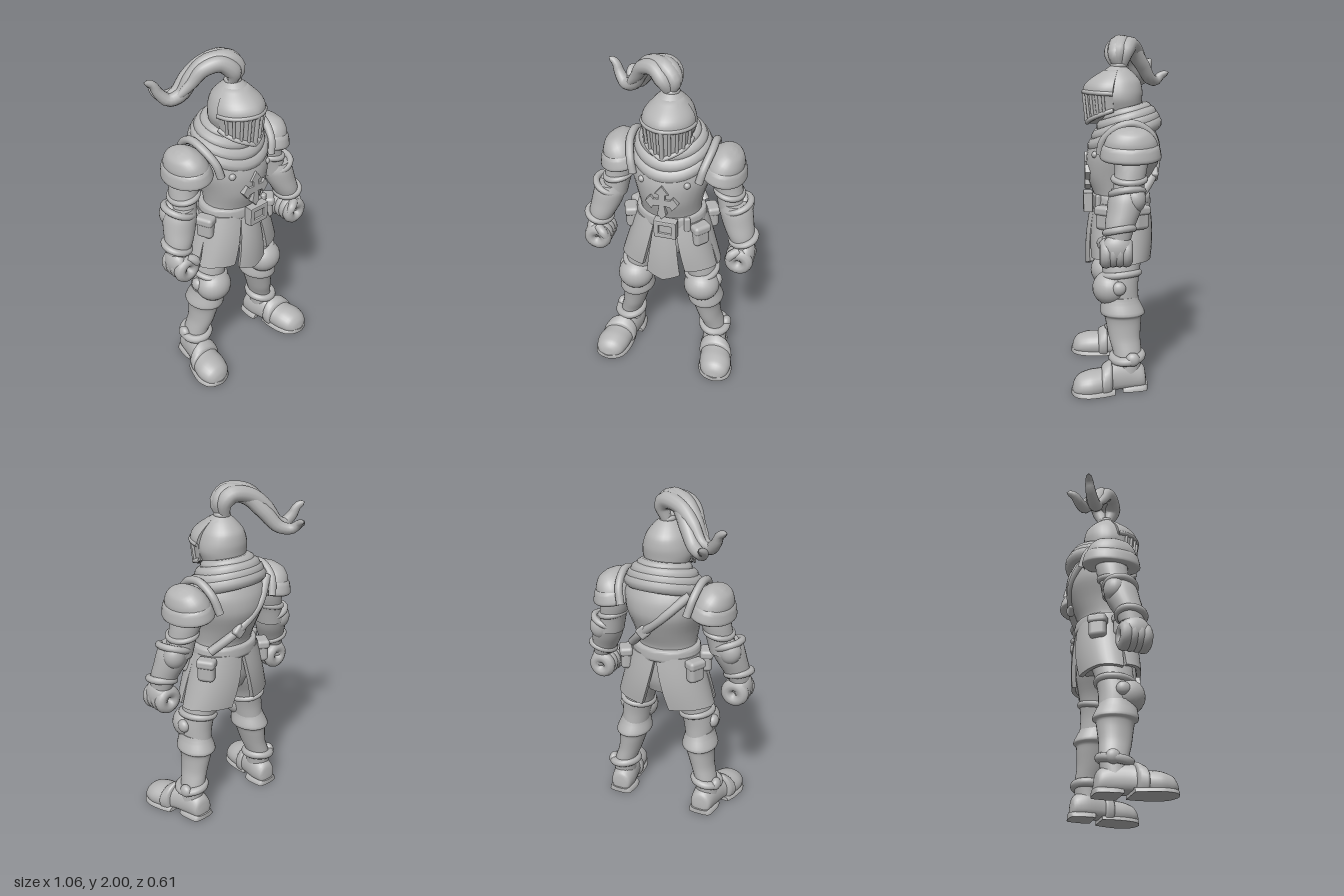
import * as THREE from 'three';
import { toCreasedNormals } from 'three/addons/utils/BufferGeometryUtils.js';
import { RoundedBoxGeometry } from 'three/addons/geometries/RoundedBoxGeometry.js';

const lerp = THREE.MathUtils.lerp;
const V = (p) => new THREE.Vector3(...p);

// Smooth solid through elliptical rings [x, y, z, rx, rz], listed from low to high y
function loft(rings, sub = 4, n = 28) {
  const a = new THREE.CatmullRomCurve3(rings.map((r) => V(r.slice(0, 3))), false, 'catmullrom', 0.4);
  const b = new THREE.CatmullRomCurve3(rings.map((r) => V([r[3], r[4], 0])), false, 'catmullrom', 0.4);
  const m = (rings.length - 1) * sub, pos = [], idx = [];
  for (let i = 0; i <= m; i++) {
    const c = a.getPoint(i / m), r = b.getPoint(i / m);
    for (let j = 0; j < n; j++) {
      const t = (j / n) * Math.PI * 2;
      pos.push(c.x + r.x * Math.cos(t), c.y, c.z + r.y * Math.sin(t));
    }
  }
  const lo = pos.length / 3, hi = lo + 1;
  pos.push(...rings[0].slice(0, 3), ...rings[rings.length - 1].slice(0, 3));
  for (let j = 0; j < n; j++) {
    const k = (j + 1) % n, top = m * n;
    for (let i = 0; i < m; i++) {
      const p = i * n + j, q = i * n + k;
      idx.push(p, p + n, q, q, p + n, q + n);
    }
    idx.push(lo, j, k, hi, top + k, top + j);
  }
  const g = new THREE.BufferGeometry();
  g.setAttribute('position', new THREE.Float32BufferAttribute(pos, 3));
  g.setIndex(idx);
  return toCreasedNormals(g, 0.9);
}

// Move every vertex by a rule
function warp(g, f) {
  const p = g.attributes.position;
  for (let i = 0; i < p.count; i++) p.setXYZ(i, ...f(p.getX(i), p.getY(i), p.getZ(i)));
  g.deleteAttribute('normal');
  g.deleteAttribute('uv');
  return toCreasedNormals(g, 0.9);
}

function at(g, x, y, z, rx = 0, ry = 0, rz = 0) {
  g.applyMatrix4(new THREE.Matrix4().makeRotationFromEuler(new THREE.Euler(rx, ry, rz)));
  return g.translate(x, y, z);
}

// Tube through points, its radius scaled along the length
function strand(pts, r, profile = () => 1, seg = 36) {
  const c = new THREE.CatmullRomCurve3(pts.map(V));
  const g = new THREE.TubeGeometry(c, seg, r, 12), p = g.attributes.position;
  for (let i = 0; i <= seg; i++) {
    const o = c.getPointAt(i / seg), k = profile(i / seg);
    for (let j = 0; j <= 12; j++) {
      const v = new THREE.Vector3().fromBufferAttribute(p, i * 13 + j).sub(o).multiplyScalar(k).add(o);
      p.setXYZ(i * 13 + j, v.x, v.y, v.z);
    }
  }
  return g;
}

// Flat-lying elliptical ring
const ring = (rx, rz, tube) => new THREE.TorusGeometry(1, tube / rx, 10, 36).rotateX(Math.PI / 2).scale(rx, rx, rz);
const ball = (x, y, z, a, b, c) => new THREE.SphereGeometry(1, 24, 16).scale(a, b, c).translate(x, y, z);

function mirrored(geo) {
  const g = geo.index ? geo.toNonIndexed() : geo.clone();
  g.scale(-1, 1, 1);
  for (const key of ['position', 'normal']) {
    const s = g.attributes[key].array;
    for (let i = 0; i < s.length; i += 9)
      for (let k = 0; k < 3; k++) [s[i + k], s[i + 6 + k]] = [s[i + 6 + k], s[i + k]];
  }
  return g;
}

export function createModel() {
  const model = new THREE.Group();
  const grey = new THREE.MeshStandardMaterial({ color: 0xb4b4b4 });
  grey.name = 'plain grey';
  const add = (name, g) => {
    const m = new THREE.Mesh(g, grey);
    m.name = name;
    model.add(m);
  };
  const pair = (name, g) => { add(name + 'Left', g); add(name + 'Right', mirrored(g)); };

  // Torso, hips and belt
  add('torso', loft([[0, 1.02, 0, 0.185, 0.145], [0, 1.1, 0.015, 0.178, 0.155], [0, 1.2, 0.012, 0.195, 0.193],
    [0, 1.31, -0.007, 0.228, 0.215], [0, 1.4, -0.018, 0.235, 0.198], [0, 1.48, -0.025, 0.2, 0.155], [0, 1.57, -0.02, 0.11, 0.11]]));
  add('hips', loft([[0, 0.79, 0, 0.13, 0.1], [0, 0.88, 0, 0.19, 0.13], [0, 1.05, 0, 0.18, 0.14]]));
  add('belt', loft([[0, 1.02, 0.005, 0.195, 0.16], [0, 1.03, 0.005, 0.208, 0.172], [0, 1.085, 0.005, 0.203, 0.17], [0, 1.095, 0.005, 0.19, 0.158]]));
  const frame = new THREE.Shape([[-0.06, -0.05], [0.06, -0.05], [0.06, 0.05], [-0.06, 0.05]].map((p) => new THREE.Vector2(...p)));
  frame.holes.push(new THREE.Path([[-0.042, -0.032], [-0.042, 0.032], [0.042, 0.032], [0.042, -0.032]].map((p) => new THREE.Vector2(...p))));
  add('buckle', at(new THREE.ExtrudeGeometry(frame, { depth: 0.04, bevelSize: 0.006, bevelThickness: 0.008, bevelSegments: 2 }), 0.02, 1.048, 0.18));
  add('bucklePlate', at(new RoundedBoxGeometry(0.1, 0.08, 0.05, 2, 0.01), 0.02, 1.048, 0.19));
  add('beltLoop', at(new RoundedBoxGeometry(0.035, 0.09, 0.03, 2, 0.01), 0.13, 1.055, 0.145, 0, 0.5, 0));

  // Pouches on the belt
  for (const [x, y, z, ry] of [[0.2, 0.975, 0.11, 0.85], [-0.235, 0.99, 0.05, -1.2], [0.22, 0.98, -0.09, 2.1], [-0.22, 0.975, -0.09, -2.1]]) {
    add('pouch', at(new RoundedBoxGeometry(0.1, 0.13, 0.065, 3, 0.025), x, y, z, 0, ry, 0));
    add('pouchFlap', at(new RoundedBoxGeometry(0.11, 0.055, 0.078, 3, 0.02), x, y + 0.045, z, 0, ry, 0));
  }

  // Skirt panels: angles at the top edge, angles at the hem, hem height, hem point
  const panel = (t0, t1, b0, b1, hem, point) => warp(new THREE.BoxGeometry(1, 1, 1, 12, 8, 1), (x, y, z) => {
    const u = x + 0.5, v = y + 0.5, d = 1 - v;
    const a = THREE.MathUtils.degToRad(lerp(lerp(b1, b0, u), lerp(t1, t0, u), v));
    const k = z * 0.026 + 0.012 * Math.sin(u * Math.PI);
    const yy = lerp(hem - point * (1 - Math.abs(2 * u - 1)), 1.05, v);
    return [Math.cos(a) * (0.19 + 0.095 * d + k), yy, 0.005 + 0.012 * d + Math.sin(a) * (0.15 + 0.015 * d + 0.018 * Math.sin(d * 2.6) + k)];
  });
  add('skirtFront', panel(72, 108, 70, 110, 0.705, 0.035));
  pair('skirtSide', panel(8, 72, 12, 64, 0.735, -0.01));
  pair('skirtBack', panel(-89, 12, -73, 7, 0.72, -0.01));

  // Raised cross on the chest
  const half = [[0, -0.11], [0.022, -0.085], [0.012, -0.02], [0.05, -0.025], [0.06, -0.045], [0.09, -0.005], [0.065, 0.03],
    [0.05, 0.012], [0.016, 0.015], [0.016, 0.05], [0.034, 0.055], [0, 0.1]];
  const cross = new THREE.Shape([...half, ...half.slice(1, -1).reverse().map(([x, y]) => [-x, y])].map((p) => new THREE.Vector2(...p)));
  add('chestCross', at(new THREE.ExtrudeGeometry(cross, { depth: 0.025, bevelSize: 0.004, bevelThickness: 0.005, bevelSegments: 2 }), 0, 1.23, 0.188));
  pair('chestRivet', ball(0.13, 1.33, 0.16, 0.02, 0.02, 0.02));

  // Strap across the back
  add('backStrap', strand([[-0.2, 1.46, -0.135], [-0.07, 1.33, -0.202], [0.07, 1.2, -0.172], [0.18, 1.08, -0.08]], 0.026));
  add('strapBuckle', at(new RoundedBoxGeometry(0.07, 0.07, 0.04, 3, 0.015), 0.06, 1.21, -0.185, 0, 0, 0.8));

  // Cowl folds draped around the neck, sagging in front
  for (const [rx, rz, t, y, z, tilt] of [[0.195, 0.185, 0.042, 1.452, -0.015, 0.3], [0.178, 0.165, 0.042, 1.49, -0.02, 0.28],
    [0.153, 0.14, 0.042, 1.527, -0.025, 0.25], [0.122, 0.115, 0.038, 1.56, -0.025, 0.22]])
    add('cowlFold', warp(at(ring(rx, rz, t), 0, y, z, tilt, 0, 0), (px, py, pz) => [px, py - 0.8 * Math.max(0, pz) ** 2, pz]));

  // Helmet
  add('helmet', loft([[0, 1.5, 0, 0.1, 0.1], [0, 1.56, 0.01, 0.118, 0.12], [0, 1.63, 0.02, 0.142, 0.135], [0, 1.68, 0.02, 0.139, 0.138],
    [0, 1.74, 0.02, 0.118, 0.125], [0, 1.79, 0.025, 0.08, 0.086], [0, 1.83, 0.025, 0.035, 0.035]]));

  // Pointed visor with bars; t runs across, v from bottom to top
  const visorPoint = (t, v, k = 1) => {
    const s = Math.abs(t), c = 0.9 + 0.1 * v;
    return [0.145 * Math.sin(t * Math.PI / 2) * c * k, lerp(1.575 - 0.08 * (1 - s), 1.675 + 0.015 * (1 - s), v),
      0.02 + (0.04 + 0.16 * (1 - s ** 1.6)) * c * k];
  };
  add('visor', warp(new THREE.BoxGeometry(1, 1, 1, 24, 6, 1), (x, y, z) => visorPoint(x * 2, y + 0.5, 0.8 + 0.36 * z)));
  const line = (n, f) => Array.from({ length: n + 1 }, (_, i) => f(i / n));
  for (const v of [0.04, 0.95]) add('visorFrame', strand(line(12, (i) => visorPoint(i * 2 - 1, v)), 0.013));
  for (let i = -4; i <= 4; i++)
    add('visorBar', strand(line(4, (k) => visorPoint(i * 0.19, 0.03 + 0.94 * k)), i ? 0.009 : 0.013, undefined, 8));

  // Brow sloping from the crown down to the top of the visor
  add('brow', warp(new THREE.BoxGeometry(1, 1, 1, 24, 8, 1), (x, y, z) => {
    const t = x * 2, v = y + 0.5, k = 0.87 + 0.3 * z + 0.17 * Math.sin(v * Math.PI), a = (1 - t) * Math.PI / 2;
    const p = visorPoint(t, 1), q = [0.07 * Math.cos(a), 1.8, 0.03 + 0.075 * Math.sin(a)];
    return [lerp(p[0], q[0], v) * k, lerp(p[1], q[1], v), 0.02 + (lerp(p[2], q[2], v) - 0.02) * k];
  }));

  // Plume curling to the right and back
  add('plumeSocket', at(ring(0.033, 0.033, 0.016), 0, 1.825, 0.02));
  const feather = (t) => Math.min(1, 0.5 + 2.5 * t) * Math.pow(1 - t, 0.33);
  const plume = [
    [[0, 1.82, 0.02], [0.02, 1.89, 0.04], [-0.03, 1.943, 0.02], [-0.13, 1.935, -0.04], [-0.2, 1.86, -0.08], [-0.25, 1.77, -0.11], [-0.31, 1.745, -0.14], [-0.355, 1.79, -0.17], [-0.38, 1.84, -0.185], [-0.425, 1.86, -0.2]],
    [[0, 1.82, 0.02], [0.02, 1.9, 0.02], [-0.02, 1.943, 0], [-0.11, 1.92, -0.06], [-0.18, 1.83, -0.13], [-0.24, 1.75, -0.18], [-0.3, 1.735, -0.225], [-0.32, 1.765, -0.26], [-0.31, 1.785, -0.305]],
    [[0, 1.82, 0], [0.015, 1.9, -0.02], [-0.02, 1.94, -0.04], [-0.12, 1.925, -0.08], [-0.2, 1.86, -0.12], [-0.27, 1.77, -0.15], [-0.34, 1.755, -0.17]],
    [[-0.01, 1.82, 0.03], [-0.03, 1.89, 0.055], [-0.09, 1.94, 0.025], [-0.17, 1.915, -0.02], [-0.22, 1.84, -0.06], [-0.28, 1.765, -0.1]],
  ];
  plume.forEach((pts, i) => add('plumeStrand', strand(pts, i < 2 ? 0.057 : 0.053, feather)));

  // Shoulders
  pair('pauldron', at(loft([[0, -0.05, 0, 0.11, 0.15], [0, 0, 0, 0.108, 0.15], [0, 0.05, 0, 0.092, 0.13], [0, 0.09, 0, 0.058, 0.085], [0, 0.105, 0, 0.01, 0.01]]), 0.305, 1.395, -0.03, 0, 0, -0.45));
  pair('pauldronSkirt', at(loft([[0, -0.09, 0, 0.118, 0.158], [0, -0.075, 0, 0.132, 0.17], [0, -0.02, 0, 0.115, 0.158], [0, 0, 0, 0.095, 0.14]]), 0.308, 1.41, -0.03, 0, 0, -0.16));
  pair('pauldronCollar', strand([[0.19, 1.34, 0.135], [0.21, 1.42, 0.115], [0.235, 1.495, 0.03], [0.237, 1.51, -0.06], [0.225, 1.45, -0.15], [0.2, 1.35, -0.185]], 0.023));
  const star = new THREE.Shape(line(15, (i) => {
    const k = Math.round(i * 15), r = k % 2 ? 0.045 : 0.072;
    return new THREE.Vector2(Math.cos(k * Math.PI / 8) * r, Math.sin(k * Math.PI / 8) * r);
  }));
  const bent = warp(new THREE.ExtrudeGeometry(star, { depth: 0.035, bevelEnabled: false }).rotateY(Math.PI / 2), (x, y, z) => [x - y * y * 4 - z * z * 3, y, z]);
  pair('pauldronStar', at(bent, 0.343, 1.443, -0.03, 0, 0, 0.85));

  // Arms and gauntlets
  pair('upperArm', loft([[0.355, 1.1, -0.01, 0.075, 0.085], [0.335, 1.2, -0.02, 0.078, 0.085], [0.315, 1.28, -0.03, 0.086, 0.09], [0.29, 1.4, -0.03, 0.085, 0.1]]));
  pair('armBand', at(ring(0.076, 0.083, 0.018), 0.332, 1.22, -0.02, 0, 0, -0.2));
  pair('forearm', loft([[0.44, 0.91, 0.045, 0.06, 0.068], [0.42, 0.98, 0.035, 0.08, 0.082], [0.397, 1.05, 0.015, 0.092, 0.092], [0.38, 1.12, 0, 0.095, 0.098], [0.375, 1.17, -0.005, 0.08, 0.085]]));
  pair('elbowCuff', at(ring(0.083, 0.085, 0.02), 0.383, 1.15, -0.005, 0.1, 0, 0.35));
  pair('elbowGuard', ball(0.41, 1.12, -0.045, 0.065, 0.075, 0.06));
  pair('wristCuff', at(ring(0.072, 0.074, 0.02), 0.44, 0.955, 0.04, 0.15, 0, 0.25));
  pair('handBack', ball(0.465, 0.86, 0.055, 0.05, 0.08, 0.082));
  for (let i = 0; i < 4; i++)
    pair('finger', at(new THREE.TorusGeometry(0.048, 0.036, 10, 24), 0.432, 0.835 + (i === 3 ? -0.005 : 0), 0.004 + i * 0.036));
  pair('thumb', strand([[0.43, 0.9, 0.11], [0.39, 0.88, 0.135], [0.37, 0.835, 0.13]], 0.027, (t) => Math.sqrt(Math.max(0, 1 - t ** 4))));

  // Legs with knee guards and greaves
  pair('thigh', loft([[0.215, 0.47, 0.015, 0.08, 0.1], [0.205, 0.58, 0.02, 0.088, 0.1], [0.18, 0.7, 0.015, 0.095, 0.11], [0.135, 0.82, 0, 0.11, 0.125], [0.105, 0.9, 0, 0.09, 0.12]]));
  pair('greave', loft([[0.285, 0.1, -0.01, 0.068, 0.075], [0.275, 0.2, -0.015, 0.066, 0.08], [0.248, 0.29, 0, 0.07, 0.09], [0.232, 0.37, 0.005, 0.08, 0.1],
    [0.226, 0.415, 0.008, 0.09, 0.108], [0.222, 0.435, 0.01, 0.108, 0.128], [0.217, 0.5, 0.022, 0.09, 0.11], [0.215, 0.53, 0.025, 0.085, 0.1]]));
  pair('kneeGuard', ball(0.208, 0.575, 0.08, 0.108, 0.1, 0.102));
  pair('kneeBand', at(ring(0.09, 0.102, 0.02), 0.195, 0.65, 0.02, 0.1, 0, 0.15));
  pair('kneeRoundel', ball(0.295, 0.59, 0.035, 0.03, 0.04, 0.04));
  pair('ankleCuff', at(ring(0.076, 0.08, 0.026), 0.28, 0.19, -0.012, 0.1, 0, -0.15));
  pair('ankleStud', ball(0.35, 0.19, -0.04, 0.03, 0.04, 0.04));

  // Boots: lofted from heel to toe, flattened on the ground
  const along = (rings, low = 0, high = 1) => warp(loft(rings).rotateX(Math.PI / 2), (x, y, z) => [x, Math.min(high, Math.max(low, y)), z]);
  pair('boot', along([[0.275, -0.12, -0.04, 0.03, 0.03], [0.275, -0.105, -0.06, 0.062, 0.07], [0.28, -0.03, -0.07, 0.075, 0.1], [0.3, 0.06, -0.07, 0.08, 0.1],
    [0.325, 0.13, -0.055, 0.094, 0.08], [0.338, 0.2, -0.05, 0.1, 0.078], [0.343, 0.26, -0.042, 0.084, 0.066], [0.345, 0.29, -0.03, 0.052, 0.045], [0.345, 0.303, -0.02, 0.01, 0.01]], 0.018));
  pair('heel', along([[0.275, -0.13, 0, 0.03, 0.05], [0.275, -0.115, 0, 0.07, 0.05], [0.278, -0.03, 0, 0.085, 0.05], [0.28, 0.015, 0, 0.08, 0.05]], 0, 0.03));
  pair('sole', along([[0.315, 0.06, 0, 0.085, 0.05], [0.325, 0.12, 0, 0.1, 0.05], [0.338, 0.2, 0, 0.106, 0.05], [0.343, 0.26, 0, 0.09, 0.05], [0.345, 0.293, 0, 0.056, 0.05], [0.345, 0.308, 0, 0.008, 0.05]], 0, 0.026));
  pair('instepStrap', along([[0.31, 0.075, -0.07, 0.08, 0.09], [0.312, 0.085, -0.07, 0.098, 0.108], [0.322, 0.125, -0.06, 0.104, 0.095], [0.326, 0.135, -0.06, 0.09, 0.08]]));
  return model;
}
